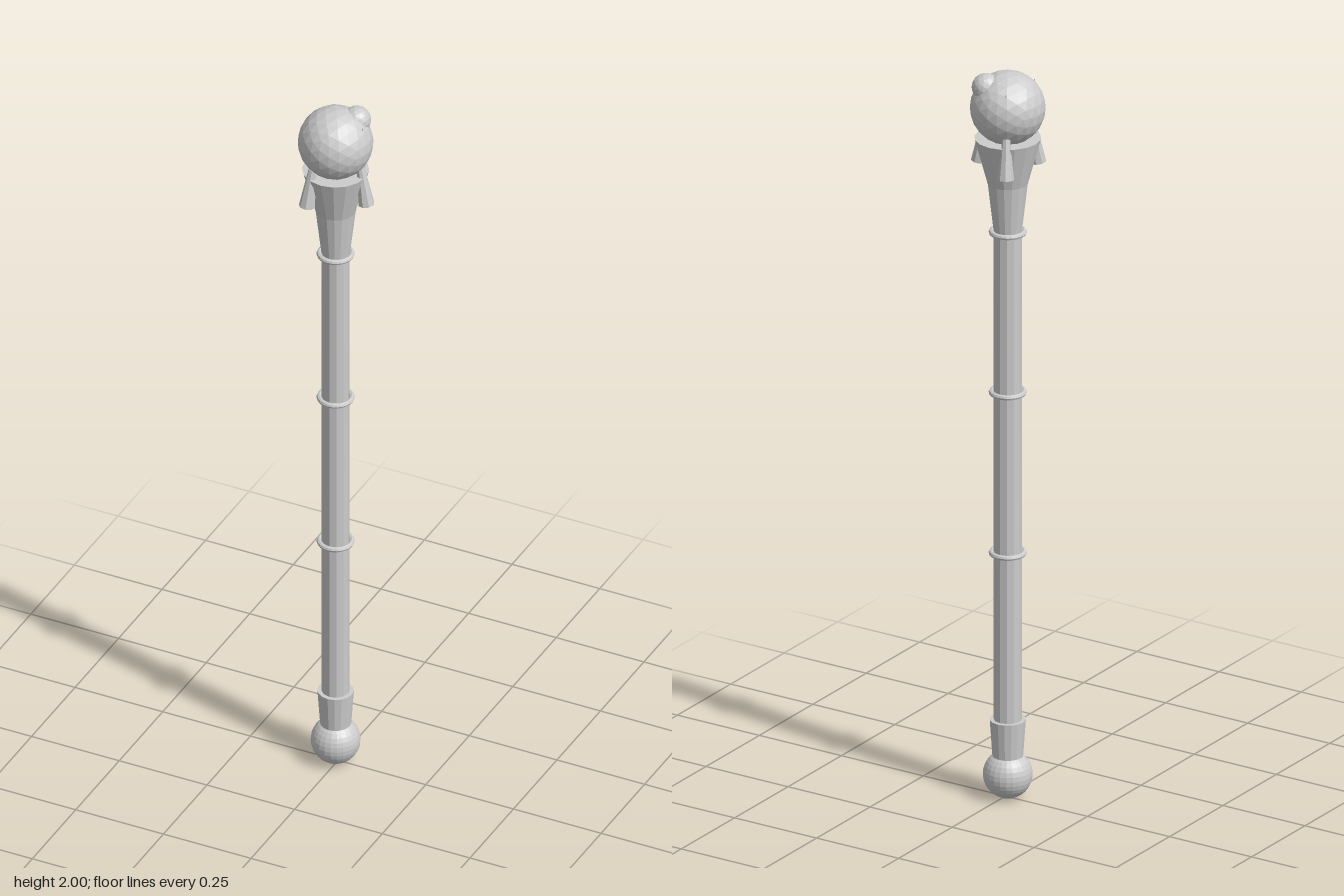
import * as THREE from 'three';

export function createModel() {
  const staff = new THREE.Group();
  staff.name = 'staff';
  const grey = new THREE.MeshStandardMaterial({ color: 0xcccccc, flatShading: true });
  grey.name = 'pale grey';

  function add(name, geometry, x, y, z, parent = staff) {
    const mesh = new THREE.Mesh(geometry, grey);
    mesh.name = name;
    mesh.position.set(x, y, z);
    parent.add(mesh);
    return mesh;
  }

  // Tapered round section standing between two heights
  function section(name, rTop, rBottom, y0, y1, sides = 16) {
    return add(name, new THREE.CylinderGeometry(rTop, rBottom, y1 - y0, sides), 0, (y0 + y1) / 2, 0);
  }

  // Pommel, ferrule and shaft
  add('pommel', new THREE.SphereGeometry(0.064, 24, 16), 0, 0.064, 0);
  section('ferrule', 0.047, 0.04, 0.115, 0.215);
  section('shaft', 0.036, 0.036, 0.1, 1.58, 12);

  // Binding rings
  for (const y of [0.675, 1.118, 1.56]) {
    const ring = add('bindingRing', new THREE.TorusGeometry(0.042, 0.007, 8, 24), 0, y, 0);
    ring.rotation.x = Math.PI / 2;
  }

  // Flared head that cups the orb
  section('headLower', 0.052, 0.037, 1.565, 1.695);
  section('headUpper', 0.086, 0.052, 1.695, 1.82);

  // Orb with a smaller bead set into its top
  add('orb', new THREE.IcosahedronGeometry(0.097, 3), 0, 1.903, 0);
  add('orbBead', new THREE.IcosahedronGeometry(0.037, 2), 0.042, 1.962, -0.037);

  // Three claws, each a thick root and a thin tip
  function limb(name, parent, a, b, rBottom, rTop) {
    const from = new THREE.Vector3(...a);
    const dir = new THREE.Vector3(...b).sub(from);
    const mid = from.clone().addScaledVector(dir, 0.5);
    const mesh = add(name, new THREE.CylinderGeometry(rTop, rBottom, dir.length(), 8), mid.x, mid.y, mid.z, parent);
    mesh.quaternion.setFromUnitVectors(new THREE.Vector3(0, 1, 0), dir.normalize());
  }
  for (let i = 0; i < 3; i++) {
    const claw = new THREE.Group();
    claw.name = 'claw';
    claw.rotation.y = (i * Math.PI * 2) / 3;
    limb('clawRoot', claw, [0.088, 1.738, 0], [0.071, 1.845, 0], 0.021, 0.01);
    limb('clawTip', claw, [0.066, 1.845, 0], [0.077, 1.967, 0], 0.008, 0.001);
    staff.add(claw);
  }

  staff.position.x = -0.007;
  const model = new THREE.Group();
  model.name = 'model';
  model.add(staff);
  return model;
}
